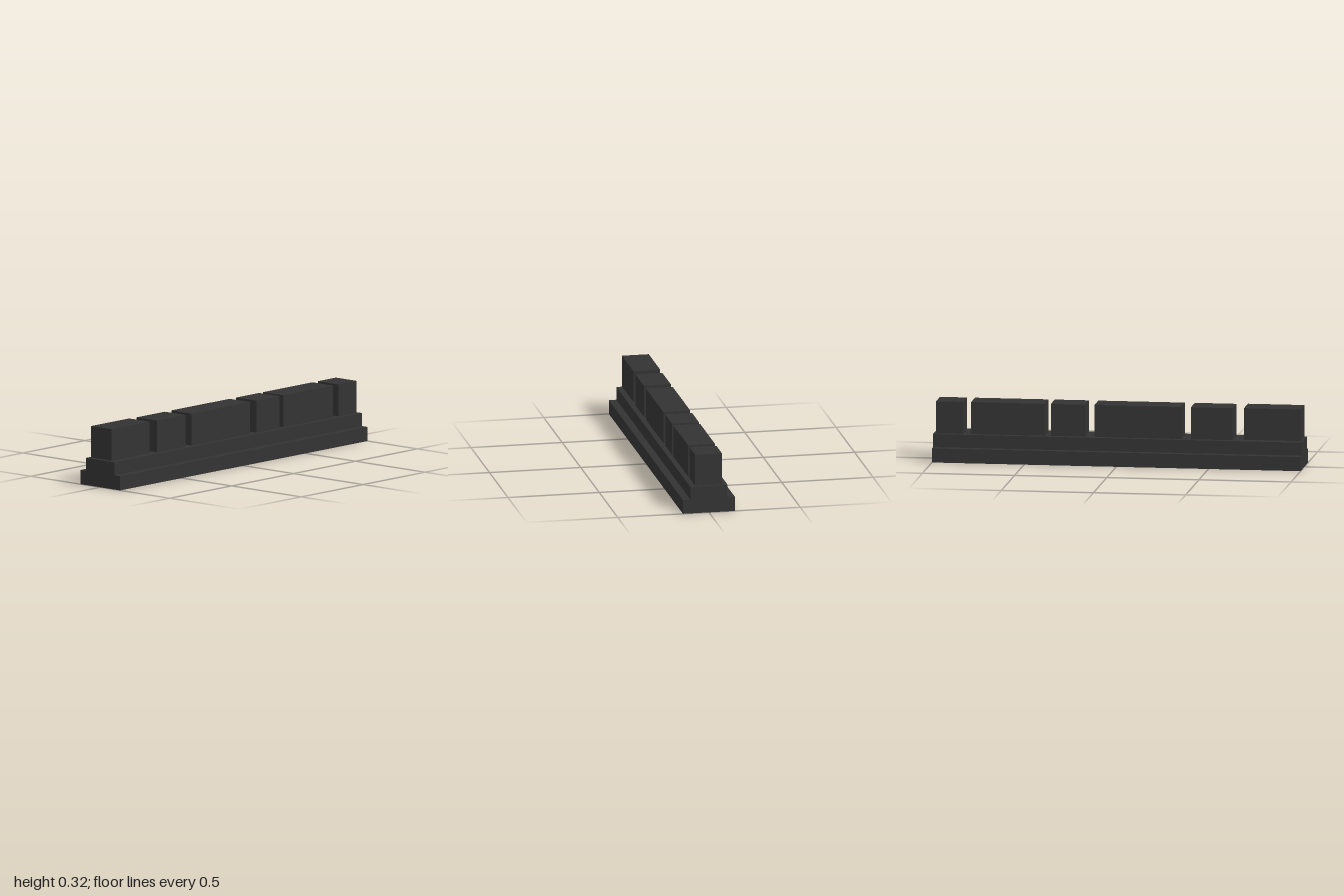
import * as THREE from 'three';

export function createModel() {
  const model = new THREE.Group();
  model.name = 'steppedBarWithBlocks';
  const charcoal = new THREE.MeshStandardMaterial({ color: 0x333333 });
  charcoal.name = 'charcoal';

  // Stepped base: one cross-section extruded along z
  const foot = 0.143, ledge = 0.102, footTop = 0.077, baseTop = 0.148;
  const profile = new THREE.Shape([
    [-foot, 0], [foot, 0], [foot, footTop], [ledge, footTop],
    [ledge, baseTop], [-ledge, baseTop], [-ledge, footTop], [-foot, footTop],
  ].map(([x, y]) => new THREE.Vector2(x, y)));
  const baseGeometry = new THREE.ExtrudeGeometry(profile, { depth: 2, bevelEnabled: false });
  baseGeometry.translate(0, 0, -1);
  const base = new THREE.Mesh(baseGeometry, charcoal);
  base.name = 'steppedBase';
  model.add(base);

  // Row of blocks: front z, back z, bottom, top (the front one sits a hair higher)
  const blocks = [
    [0.99, 0.683, 0.152, 0.324],
    [0.622, 0.395, baseTop, 0.322],
    [0.343, -0.128, baseTop, 0.322],
    [-0.18, -0.365, baseTop, 0.322],
    [-0.398, -0.797, baseTop, 0.322],
    [-0.84, -0.987, baseTop, 0.322],
  ];
  blocks.forEach(([front, back, bottom, top], i) => {
    const block = new THREE.Mesh(
      new THREE.BoxGeometry(0.147, top - bottom, front - back), charcoal);
    block.position.set(0, (top + bottom) / 2, (front + back) / 2);
    block.name = `topBlock${i + 1}`;
    model.add(block);
  });

  return model;
}
